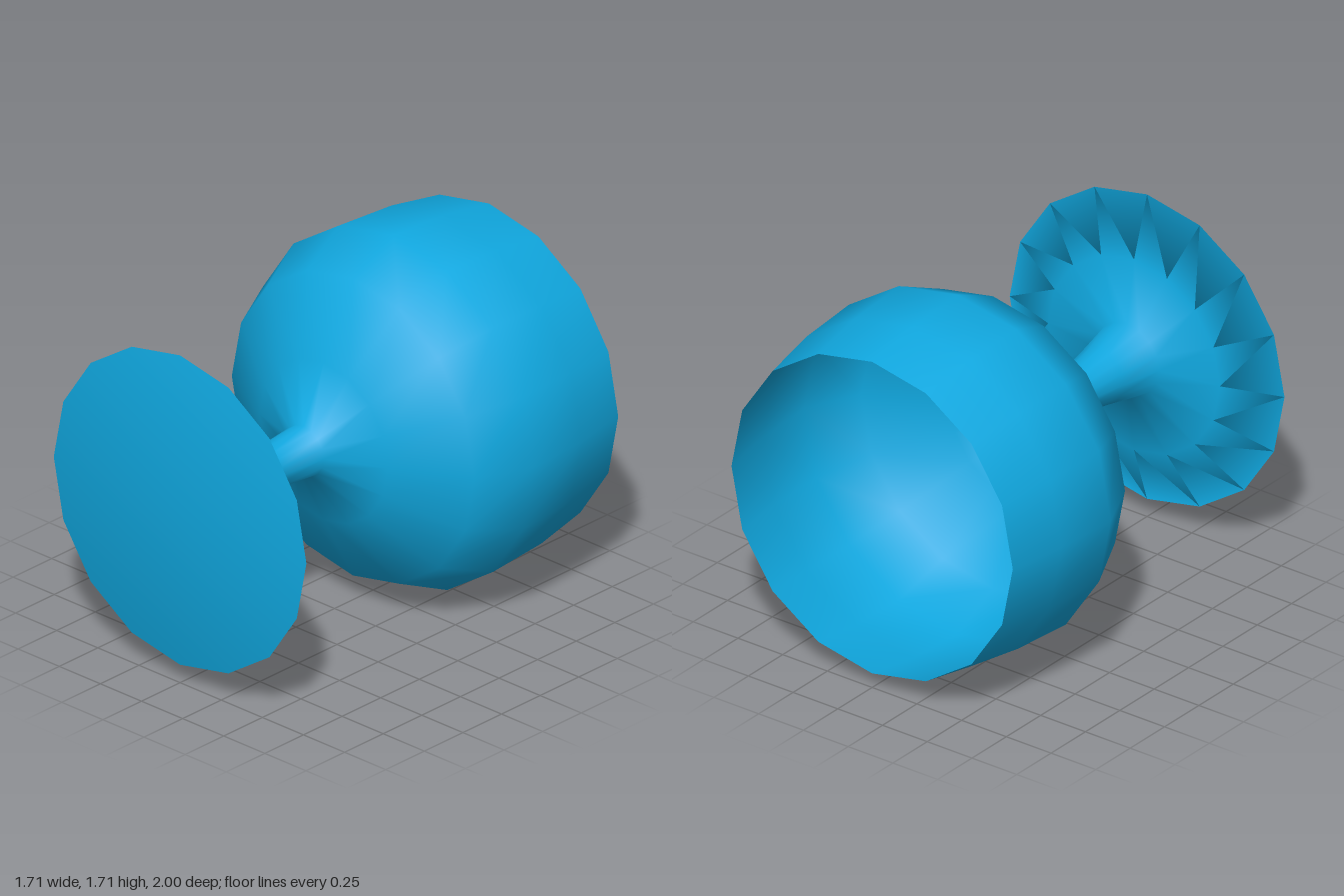
import * as THREE from 'three';

const CENTRE_Y = 0.857;
const SIDES = 16;

// Outline as [radius, z], from the middle of the foot to the lip of the bowl
const OUTLINE = [
  [0, 1], [0.768, 1], [0.48, 0.905], [0.177, 0.855], // foot
  [0.135, 0.65], [0.1, 0.45], [0.122, 0.2], // stem
  [0.39, 0.07], [0.737, -0.12], [0.857, -0.38], [0.836, -0.71], [0.786, -1], // bowl
];

export function createModel() {
  const group = new THREE.Group();
  group.name = 'goblet';
  const material = new THREE.MeshStandardMaterial({ color: 0x10a8e0, side: THREE.DoubleSide });

  // Foot, stem and thin open bowl turned as one smooth shell, lying along z
  const points = OUTLINE.map(([r, z]) => new THREE.Vector2(r, -z));
  const shell = new THREE.Mesh(new THREE.LatheGeometry(points, SIDES), material);
  shell.name = 'footStemAndBowl';
  shell.rotation.x = -Math.PI / 2;
  shell.position.y = CENTRE_Y;
  group.add(shell);

  // Floor closing the bowl above the stem
  const floor = new THREE.Mesh(new THREE.CircleGeometry(0.122, SIDES), material);
  floor.name = 'bowlFloor';
  floor.rotation.y = Math.PI;
  floor.position.set(0, CENTRE_Y, 0.2);
  group.add(floor);

  return group;
}
